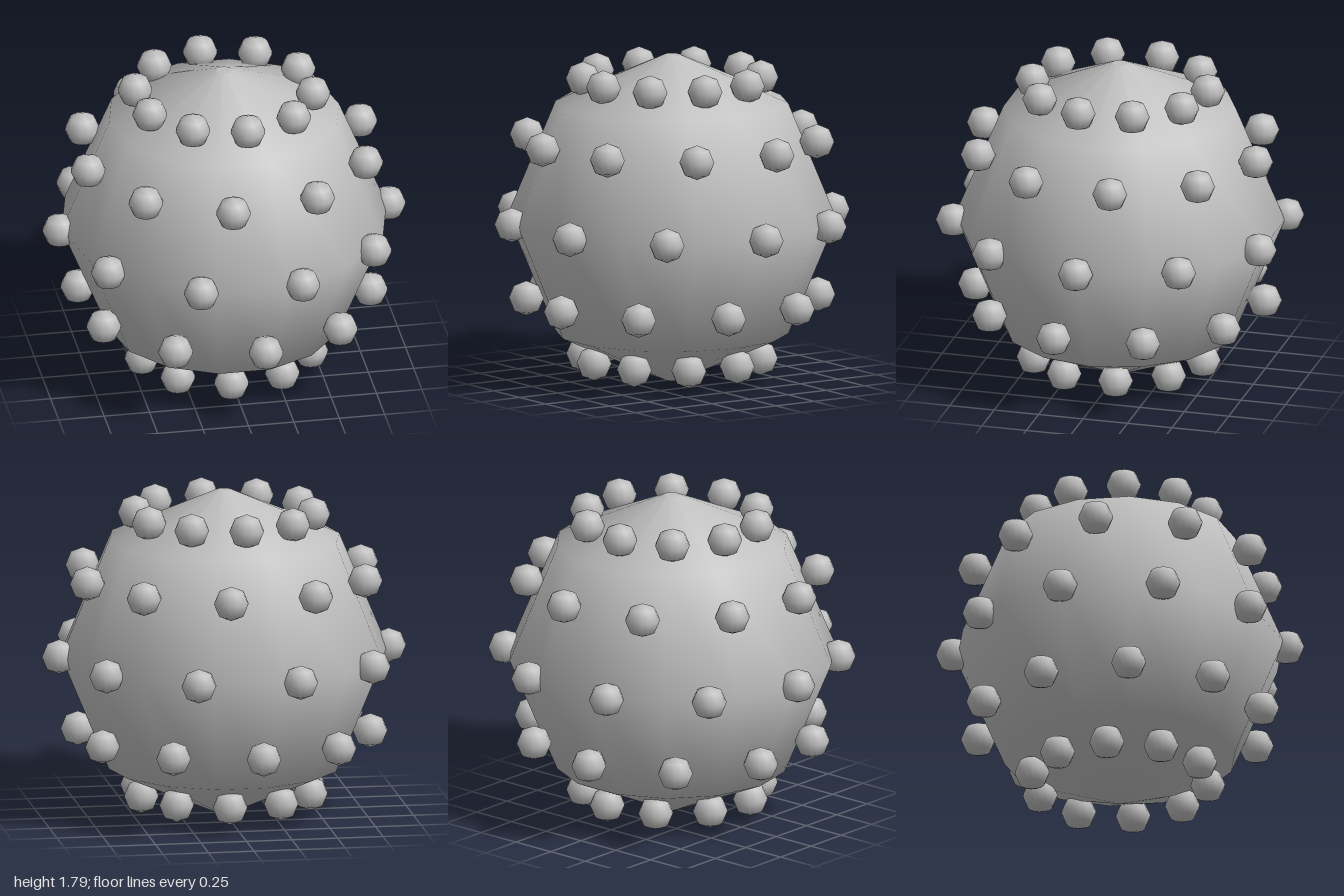
import * as THREE from 'three';

const R = 0.895;      // body radius, also the height of its centre
const SIDES = 14;     // segments around the vertical axis
const TIP = 0.042;    // radius of the small flat poles

export function createModel() {
  const model = new THREE.Group();
  model.name = 'studdedBall';
  const grey = new THREE.MeshStandardMaterial({ color: 0xbfbfbf });
  grey.name = 'plain grey';

  const add = (name, geometry, parent = model) => {
    const mesh = new THREE.Mesh(geometry, grey);
    mesh.name = name;
    parent.add(mesh);
    return mesh;
  };

  // Body: octagonal profile turned around the vertical axis
  const d = R * Math.SQRT1_2;
  const profile = [[TIP, 0], [d, R - d], [R, R], [d, R + d], [TIP, 2 * R]]
    .map(([x, y]) => new THREE.Vector2(x, y));
  add('body', new THREE.LatheGeometry(profile, SIDES, Math.PI / 2));

  // Flat poles
  const cap = new THREE.CircleGeometry(TIP, SIDES);
  const top = add('topPole', cap);
  top.position.y = 2 * R;
  top.rotation.x = -Math.PI / 2;
  const bottom = add('bottomPole', cap);
  bottom.rotation.x = Math.PI / 2;

  // Studs: five rings of ten, each [height above centre, ring radius, start angle]
  const rings = [
    [0.765, 0.483, 12.6],
    [0.435, 0.793, 24.5],
    [0, 0.905, 0],
    [-0.435, 0.793, 11.5],
    [-0.765, 0.483, 23.4],
  ];
  const stud = new THREE.SphereGeometry(0.095, SIDES, 4);
  rings.forEach(([h, r, start], i) => {
    const ring = new THREE.Group();
    ring.name = `studRing${i + 1}`;
    for (let k = 0; k < 10; k++) {
      const a = THREE.MathUtils.degToRad(start + 36 * k);
      add('stud', stud, ring).position.set(r * Math.cos(a), R + h, r * Math.sin(a));
    }
    model.add(ring);
  });

  return model;
}
